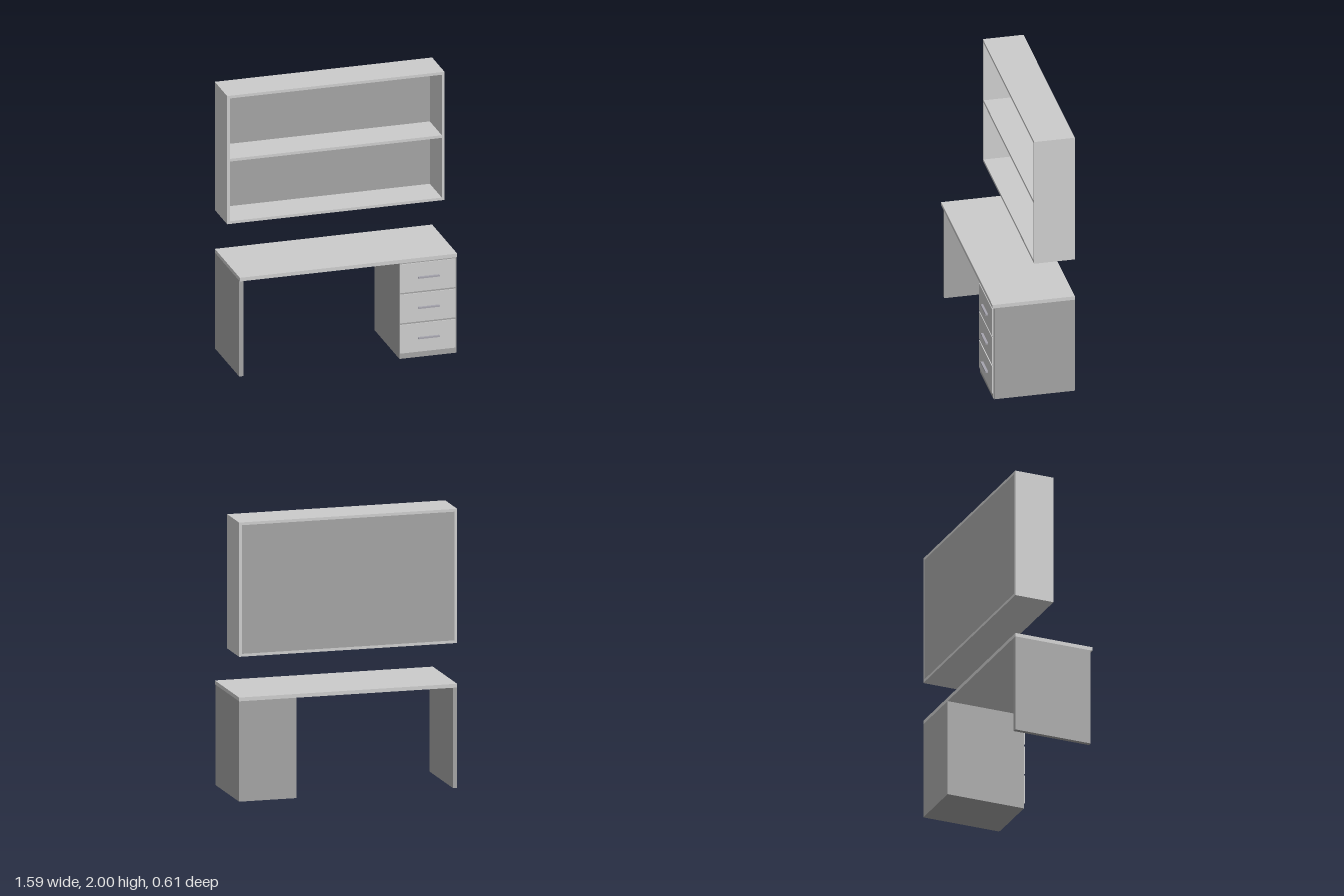
import * as THREE from 'three';

export function createModel() {
  const model = new THREE.Group();
  model.name = 'deskAndShelf';

  const light = new THREE.MeshStandardMaterial({ color: 0xcccccc });
  const dark = new THREE.MeshStandardMaterial({ color: 0xa2a2a2 });
  const metal = new THREE.MeshStandardMaterial({ color: 0xa6a5ae });

  // Box given by its lower and upper limits on each axis
  function board(parent, name, material, [x0, x1], [y0, y1], [z0, z1]) {
    const mesh = new THREE.Mesh(new THREE.BoxGeometry(x1 - x0, y1 - y0, z1 - z0), material);
    mesh.position.set((x0 + x1) / 2, (y0 + y1) / 2, (z0 + z1) / 2);
    mesh.name = name;
    parent.add(mesh);
  }

  const W = 0.797, BACK = -0.305;

  // Desk: top and two side panels
  const desk = new THREE.Group();
  desk.name = 'desk';
  model.add(desk);
  board(desk, 'deskTop', light, [-W, W], [0.719, 0.746], [BACK, 0.287]);
  board(desk, 'rightSidePanel', dark, [-W, -0.767], [0, 0.719], [BACK, 0.272]);
  board(desk, 'leftSidePanel', dark, [0.786, W], [0, 0.719], [BACK, 0.272]);

  // Drawer cabinet under the model's left end
  const cabinet = new THREE.Group();
  cabinet.name = 'drawerCabinet';
  model.add(cabinet);
  board(cabinet, 'cabinetBody', dark, [0.376, 0.786], [0, 0.719], [BACK, 0.279]);
  for (let i = 0; i < 3; i++) {
    const y = 0.042 + i * 0.227;
    board(cabinet, 'drawerFront', light, [0.379, 0.785], [y, y + 0.213], [0.279, 0.287]);
    board(cabinet, 'drawerHandle', metal, [0.508, 0.664], [y + 0.1, y + 0.111], [0.287, 0.305]);
  }

  // Wall shelf: open-fronted frame with one middle shelf and a back panel
  const shelf = new THREE.Group();
  shelf.name = 'wallShelf';
  model.add(shelf);
  const T = 0.02, Y0 = 1.038, Y1 = 2, depth = [BACK, -0.013];
  for (const s of [-1, 1]) {
    const x = s * (W - T / 2);
    board(shelf, s < 0 ? 'shelfRightSide' : 'shelfLeftSide', light, [x - T / 2, x + T / 2], [Y0, Y1], depth);
  }
  const inner = [-W + T, W - T];
  board(shelf, 'shelfTop', light, inner, [Y1 - T, Y1], depth);
  board(shelf, 'shelfBottom', light, inner, [Y0, Y0 + T], depth);
  board(shelf, 'middleShelf', light, inner, [1.506, 1.526], [BACK + 0.001, -0.013]);
  board(shelf, 'shelfBack', dark, inner, [Y0 + T, Y1 - T], [BACK, BACK + 0.01]);

  return model;
}
